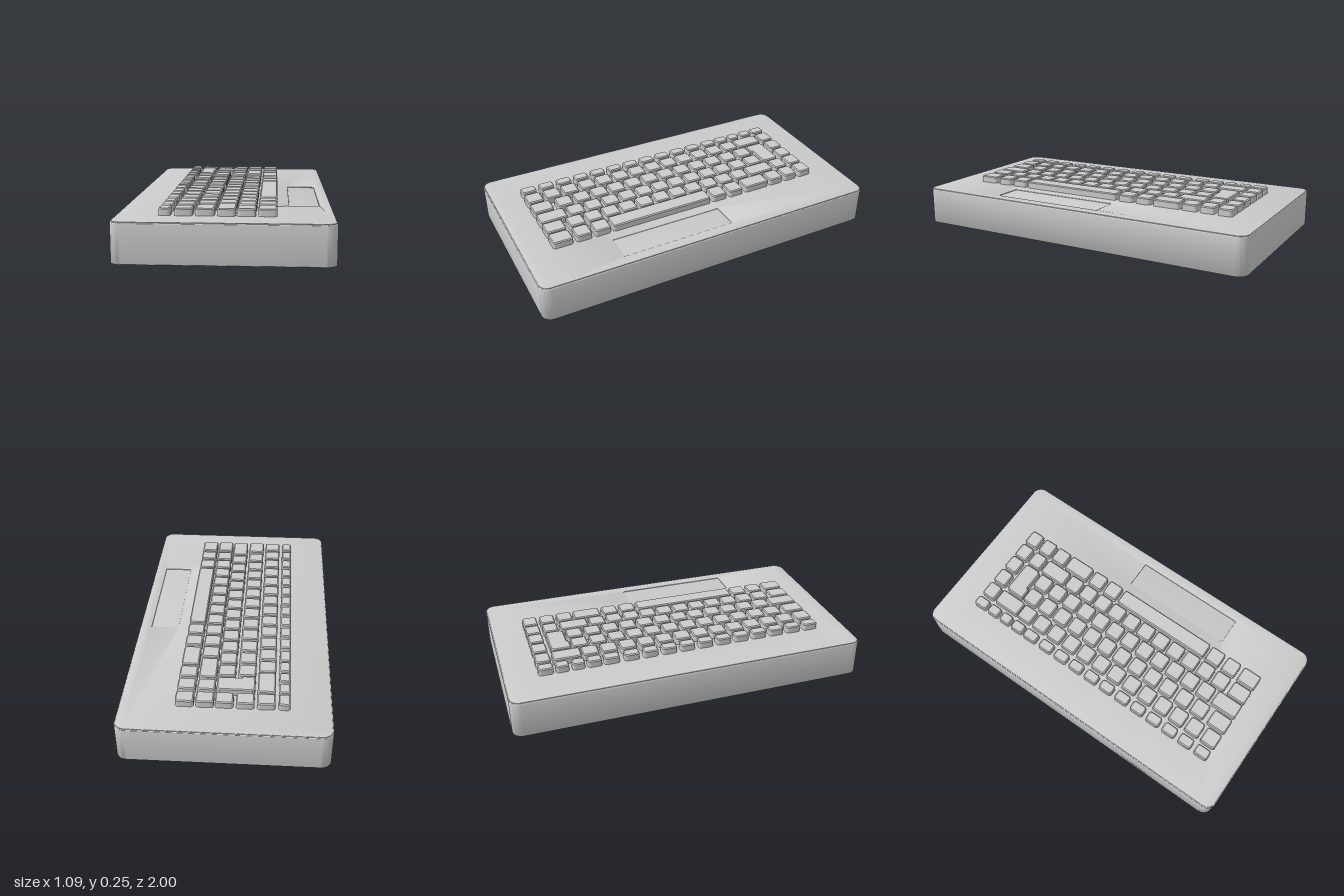
import * as THREE from 'three';
import { toCreasedNormals } from 'three/addons/utils/BufferGeometryUtils.js';

const material = new THREE.MeshStandardMaterial({ color: 0xcccccc });

// Rounded rectangle in plan; z is stored as -y of the shape
function roundedRect(x0, x1, z0, z1, r, Type = THREE.Shape) {
  const s = new Type();
  const [a, b] = [-z1, -z0];
  s.moveTo(x0 + r, a);
  s.lineTo(x1 - r, a);
  s.absarc(x1 - r, a + r, r, -Math.PI / 2, 0);
  s.lineTo(x1, b - r);
  s.absarc(x1 - r, b - r, r, 0, Math.PI / 2);
  s.lineTo(x0 + r, b);
  s.absarc(x0 + r, b - r, r, Math.PI / 2, Math.PI);
  s.lineTo(x0, a + r);
  s.absarc(x0 + r, a + r, r, Math.PI, Math.PI * 1.5);
  return s;
}

// Upright slab from y0 to y1 whose bevels stay inside the outline
function slab(name, shape, y0, y1, bevelH, bevelW, curveSegments, bevelSegments, crease) {
  const geo = new THREE.ExtrudeGeometry(shape, {
    depth: y1 - y0 - 2 * bevelH,
    bevelThickness: bevelH, bevelSize: bevelW, bevelOffset: -bevelW,
    bevelSegments, curveSegments,
  });
  geo.rotateX(-Math.PI / 2);
  geo.translate(0, y0 + bevelH, 0);
  const mesh = new THREE.Mesh(toCreasedNormals(geo, crease), material);
  mesh.name = name;
  return mesh;
}

function keyMesh(name, shape) {
  return slab(name, shape, 0.196, 0.247, 0.005, 0.006, 3, 1, 0.3);
}

// count keys of equal length, from the first centre to the last
function run(first, last, count, length) {
  return Array.from({ length: count }, (_, i) => {
    const c = first + (last - first) * i / (count - 1);
    return [c - length / 2, c + length / 2];
  });
}

export function createModel() {
  const model = new THREE.Group();

  // Body with a shallow trackpad recess in its deck
  model.add(slab('body', roundedRect(-0.545, 0.545, -1, 1, 0.055),
    0, 0.205, 0.006, 0.006, 8, 3, 0.9));
  const deckShape = roundedRect(-0.54, 0.54, -0.995, 0.995, 0.05);
  deckShape.holes.push(roundedRect(0.32, 0.478, -0.13, 0.52, 0.006, THREE.Path));
  model.add(slab('deck', deckShape, 0.2, 0.209, 0.003, 0.003, 8, 2, 0.9));

  // Key rows run along z; each key is [start, end]
  const top = [-0.815, -0.732];
  const rows = [
    { name: 'functionKey', x: [-0.33, -0.27], keys: [
      top, [-0.72, -0.647], [-0.63, -0.56], [-0.546, -0.466], [-0.455, -0.367],
      ...run(-0.297, 0.785, 11, 0.086)] },
    { name: 'numberKey', x: [-0.253, -0.16], keys: [
      top, [-0.72, -0.56], ...run(-0.509, 0.674, 12, 0.092), [0.735, 0.83]] },
    { name: 'upperLetterKey', x: [-0.147, -0.053], keys: [
      top, ...run(-0.546, 0.64, 12, 0.092), [0.712, 0.83]] },
    { name: 'middleLetterKey', x: [-0.04, 0.053], keys: [
      top, ...run(-0.552, 0.61, 12, 0.092), [0.67, 0.83]] },
    { name: 'lowerLetterKey', x: [0.06, 0.153], keys: [
      top, [-0.715, -0.63], [-0.615, -0.453], ...run(-0.395, 0.648, 11, 0.092), [0.715, 0.83]] },
    { name: 'modifierKey', x: [0.163, 0.257], keys: [
      top, [-0.715, -0.63], [-0.615, -0.525], [-0.513, -0.355], [-0.338, -0.247],
      [-0.23, -0.138], [0.497, 0.59], [0.607, 0.697], [0.715, 0.83]] },
  ];
  const keyboard = new THREE.Group();
  keyboard.name = 'keyboard';
  for (const { name, x, keys } of rows) {
    for (const [z0, z1] of keys) {
      keyboard.add(keyMesh(name, roundedRect(x[0], x[1], z0, z1, 0.016)));
    }
  }
  keyboard.add(keyMesh('spaceBar', roundedRect(0.163, 0.257, -0.122, 0.485, 0.016)));

  // Stepped enter key spanning two rows
  const enter = new THREE.Shape();
  const corners = [[-0.147, 0.598], [-0.08, 0.598], [-0.074, 0.61], [0.04, 0.61], [0.053, 0.623],
    [0.053, 0.697], [0.04, 0.712], [-0.133, 0.712], [-0.147, 0.697]];
  enter.setFromPoints(corners.map(([x, y]) => new THREE.Vector2(x, y)));
  keyboard.add(keyMesh('enterKey', enter));
  model.add(keyboard);

  return model;
}
